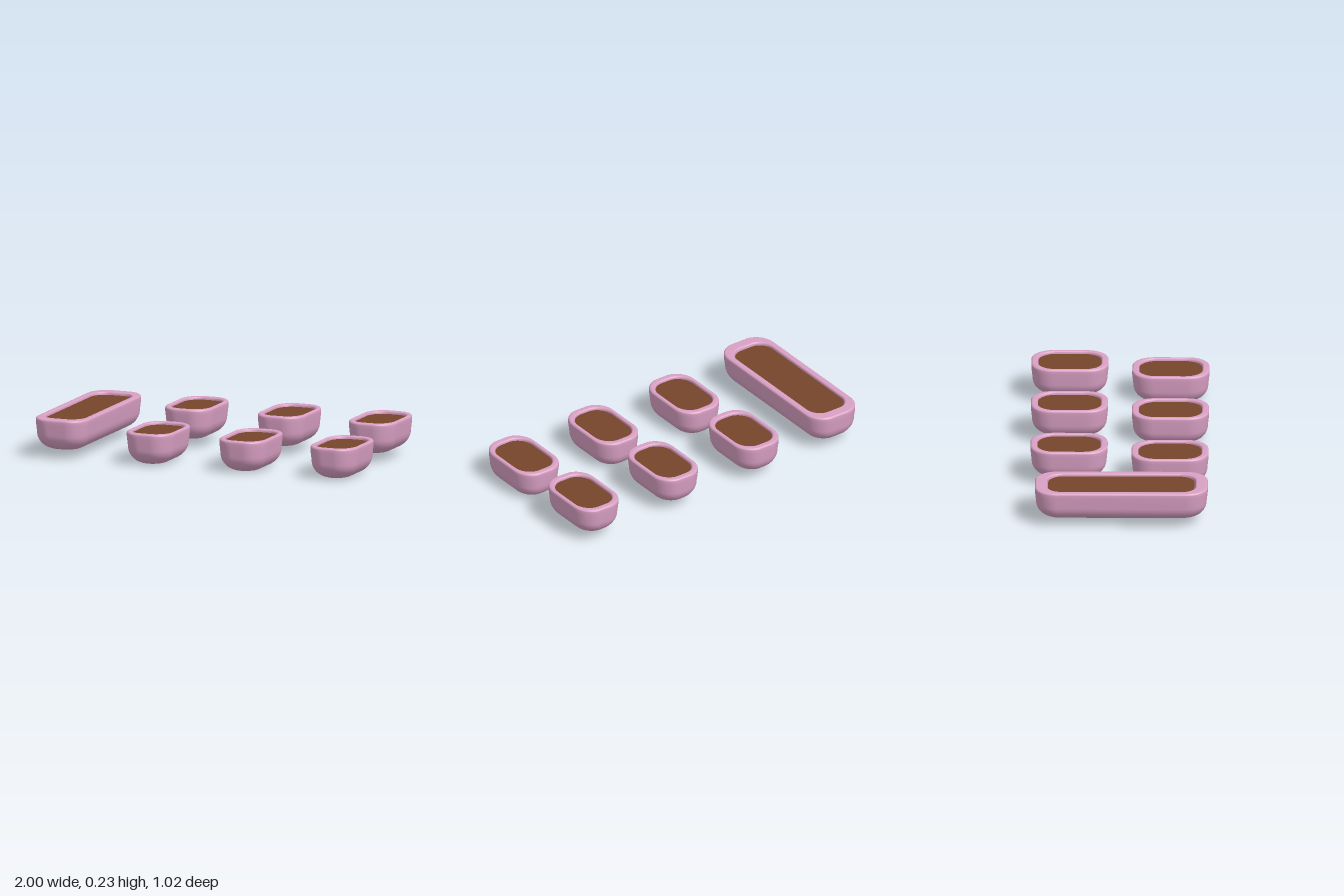
import * as THREE from 'three';

const pink = new THREE.MeshStandardMaterial({ color: 0xd9a0c4, side: THREE.DoubleSide });
const brown = new THREE.MeshStandardMaterial({ color: 0x75452a, side: THREE.DoubleSide });
const CORNER = 12; // segments per rounded corner

// Closed outline of a soft rounded rectangle, seen in the xz plane
function outline(hx, hz, r) {
  const rx = Math.min(r, hx), rz = Math.min(r * 1.12, hz);
  const points = [];
  for (let q = 0; q < 4; q++) {
    const sx = q === 0 || q === 3 ? 1 : -1;
    const sz = q < 2 ? 1 : -1;
    for (let k = 0; k <= CORNER; k++) {
      const a = (q + k / CORNER) * Math.PI / 2;
      points.push([sx * (hx - rx) + rx * Math.cos(a), sz * (hz - rz) + rz * Math.sin(a)]);
    }
  }
  return points;
}

// Smooth skin through a stack of outlines: [halfX, halfZ, cornerRadius, y]
function loft(levels) {
  const positions = [], index = [];
  const n = 4 * (CORNER + 1);
  levels.forEach(([hx, hz, r, y], i) => {
    for (const [x, z] of outline(hx, hz, r)) positions.push(x, y, z);
    if (i === 0) return;
    for (let j = 0; j < n; j++) {
      const a = (i - 1) * n + j, b = (i - 1) * n + (j + 1) % n;
      index.push(a, a + n, b + n, a, b + n, b);
    }
  });
  const geometry = new THREE.BufferGeometry();
  geometry.setAttribute('position', new THREE.Float32BufferAttribute(positions, 3));
  geometry.setIndex(index);
  geometry.computeVertexNormals();
  return geometry;
}

// A tub with a rounded underside, rolled rim and a bed of soil
function makePlanter(name, { hx, hz, height, corner, wallX, wallZ, soilGap }) {
  const levels = [[0, 0, 0, 0]];
  // rounded underside
  const rx = 0.095, ry = 0.1, taper = 0.006;
  for (let k = 0; k <= 12; k++) {
    const a = k / 12 * Math.PI / 2;
    const inset = rx * (1 - Math.sin(a)) + taper;
    levels.push([hx - inset, hz - inset, corner - inset * 0.55, ry * (1 - Math.cos(a))]);
  }
  // side wall and rolled rim
  const roll = 0.012;
  levels.push([hx, hz, corner, height - 0.03]);
  for (let k = 0; k <= 5; k++) {
    const a = k / 5 * Math.PI / 2;
    const inset = roll * (1 - Math.cos(a));
    levels.push([hx - inset, hz - inset, corner - inset * 0.5, height - roll + roll * Math.sin(a)]);
  }
  // inner lip and wall, running below the soil
  const ix = hx - wallX, iz = hz - wallZ, ir = corner - wallX * 0.7;
  for (let k = 0; k <= 4; k++) {
    const a = k / 4 * Math.PI / 2;
    const out = 0.01 * (1 - Math.sin(a));
    levels.push([ix + out, iz + out, ir + out * 0.5, height - 0.01 * (1 - Math.cos(a))]);
  }
  levels.push([ix - 0.004, iz - 0.004, ir, height - 0.05]);

  const group = new THREE.Group();
  group.name = name;
  const tub = new THREE.Mesh(loft(levels), pink);
  tub.name = 'tub';
  const soilY = height - 0.016;
  const soil = new THREE.Mesh(loft([[ix, iz - soilGap, ir, soilY], [0, 0, 0, soilY]]), brown);
  soil.name = 'soil';
  group.add(tub, soil);
  return group;
}

export function createModel() {
  const model = new THREE.Group();
  model.name = 'planterSet';

  // Two rows of small planters, the back row slightly raised
  const small = { hx: 0.145, hz: 0.222, height: 0.187, corner: 0.11, wallX: 0.026, wallZ: 0.04, soilGap: 0 };
  const rows = [['front', 0.288, 0], ['back', -0.292, 0.044]];
  const columns = [['Right', -0.289], ['Middle', 0.287], ['Left', 0.853]];
  for (const [row, z, y] of rows) {
    for (const [column, x] of columns) {
      const planter = makePlanter(row + column + 'Planter', small);
      planter.position.set(x, y, z);
      model.add(planter);
    }
  }

  // Long trough on the right
  const trough = makePlanter('longPlanter', {
    hx: 0.162, hz: 0.497, height: 0.185, corner: 0.11, wallX: 0.04, wallZ: 0.07, soilGap: 0.006,
  });
  trough.position.set(-0.838, 0.044, 0.011);
  model.add(trough);
  return model;
}
